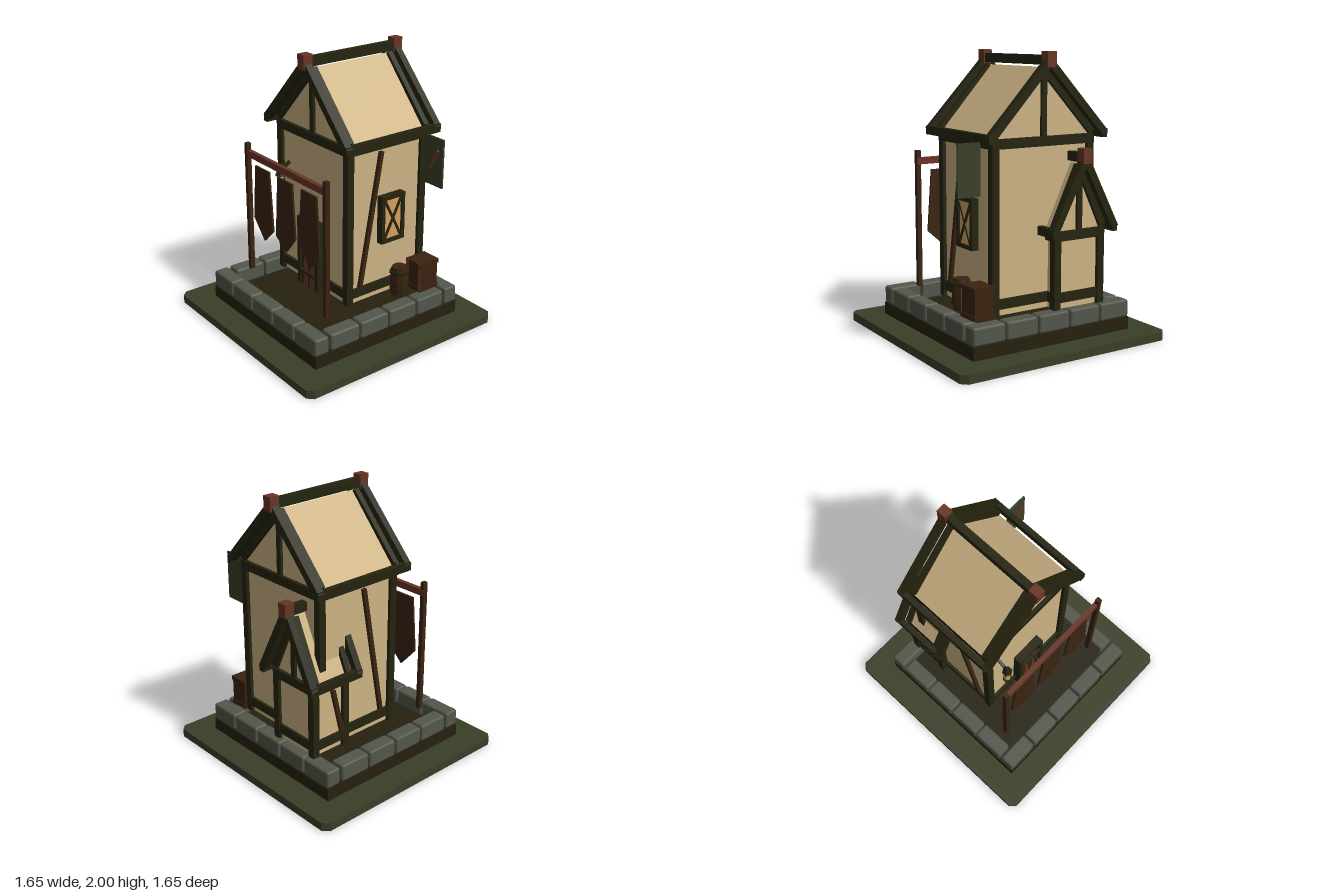
import * as THREE from 'three';
import { RoundedBoxGeometry } from 'three/addons/geometries/RoundedBoxGeometry.js';

const paint = (name, color) => {
  const m = new THREE.MeshStandardMaterial({ color });
  m.name = name;
  return m;
};

export function createModel() {
  const timber = paint('dark timber', 0x25240f);
  const plaster = paint('plaster', 0xcdb384);
  const grass = paint('moss green', 0x393f27);
  const earth = paint('dark earth', 0x26200f);
  const stone = paint('grey stone', 0x52564a);
  const red = paint('red wood', 0x673524);
  const brown = paint('brown wood', 0x3a2311);
  const glow = paint('amber glass', 0xd6a05c);

  const model = new THREE.Group();
  model.name = 'timberHouse';

  const group = (name, parent = model) => {
    const g = new THREE.Group();
    g.name = name;
    parent.add(g);
    return g;
  };
  const mesh = (parent, name, geo, mat, x = 0, y = 0, z = 0) => {
    const m = new THREE.Mesh(geo, mat);
    m.name = name;
    m.position.set(x, y, z);
    parent.add(m);
    return m;
  };
  // box given by its limits on each axis
  const box = (parent, name, mat, x0, x1, y0, y1, z0, z1) =>
    mesh(parent, name, new THREE.BoxGeometry(x1 - x0, y1 - y0, z1 - z0), mat,
      (x0 + x1) / 2, (y0 + y1) / 2, (z0 + z1) / 2);
  // beam between two points
  const beam = (parent, name, mat, a, b, w, d, extra = 0) => {
    const p = new THREE.Vector3(...a), q = new THREE.Vector3(...b);
    const dir = q.clone().sub(p), len = dir.length();
    const mid = p.add(q).multiplyScalar(0.5);
    const m = mesh(parent, name, new THREE.BoxGeometry(w, len + extra, d), mat, mid.x, mid.y, mid.z);
    m.quaternion.setFromUnitVectors(new THREE.Vector3(0, 1, 0), dir.normalize());
    return m;
  };
  const plate = (points, depth) => new THREE.ExtrudeGeometry(
    new THREE.Shape(points.map(p => new THREE.Vector2(...p))), { depth, bevelEnabled: false });

  // Ground slab with clipped corners, and plinth
  const a = 0.825, c = 0.785;
  const slab = mesh(model, 'groundSlab',
    plate([[a, -c], [a, c], [c, a], [-c, a], [-a, c], [-a, -c], [-c, -a], [c, -a]], 0.06), grass);
  slab.rotation.x = -Math.PI / 2;
  box(model, 'plinth', earth, -0.635, 0.635, 0.06, 0.15, -0.635, 0.635);

  // Ring of foundation stones
  const ring = group('foundationStones');
  const block = (w, d, x, z) =>
    mesh(ring, 'stone', new RoundedBoxGeometry(w, 0.125, d, 1, 0.016), stone, x, 0.2125, z);
  for (const s of [-1, 1]) {
    for (let i = 0; i < 5; i++) block(0.245, 0.113, (i - 2) * 0.2555, s * 0.579);
    for (let i = 0; i < 4; i++) block(0.113, 0.243, s * 0.579, (i - 1.5) * 0.255);
  }

  // Half-timbered house with a gabled roof, ridge along z
  const base = 0.275;
  function house(name, { x, z, hw, hd, top, ridge, eave, over, cap, capZ }) {
    const g = group(name);
    g.position.set(x, 0, z);
    const t = 0.053, wx = hw - 0.025, wz = hd - 0.025;
    box(g, 'walls', plaster, -wx, wx, base, top, -wz, wz);
    mesh(g, 'roofAndGables', plate([[-hw, top], [hw, top], [0, ridge - 0.035]], 2 * wz), plaster, 0, 0, -wz);
    for (const s of [-1, 1]) {
      for (const f of [-1, 1]) {
        const px = s * (hw - t / 2), pz = f * (hd - t / 2);
        box(g, 'cornerPost', timber, px - t / 2, px + t / 2, base, top, pz - t / 2, pz + t / 2);
        beam(g, 'gableRafter', timber, [s * (hw - 0.01), top + 0.015, f * (hd - 0.02)],
          [0, ridge - 0.045, f * (hd - 0.02)], 0.06, 0.04);
        beam(g, 'bargeRafter', timber, [s * eave, top + 0.01, f * over], [0, ridge, f * over], 0.052, 0.05, 0.02);
      }
      const sx = s * (hw - 0.02), fz = s * (hd - 0.02);
      box(g, 'sidePlate', timber, sx - 0.02, sx + 0.02, top - 0.065, top, -hd, hd);
      box(g, 'sideSill', timber, sx - 0.015, sx + 0.015, 0.32, 0.387, -hd + 0.01, hd - 0.01);
      box(g, 'eaveBeam', timber, s * eave - 0.02, s * eave + 0.02, top - 0.025, top + 0.035, -over - 0.025, over + 0.025);
      box(g, 'tieBeam', timber, -hw, hw, top - 0.065, top, fz - 0.021, fz + 0.021);
      box(g, 'gableSill', timber, -hw + 0.01, hw - 0.01, 0.32, 0.387, fz - 0.015, fz + 0.015);
      box(g, 'kingPost', timber, -0.02, 0.02, top, ridge - 0.05, fz - 0.016, fz + 0.016);
      box(g, 'ridgeCap', red, -0.034, 0.034, cap - 0.1, cap, s * capZ - 0.037, s * capZ + 0.037);
      // leaning brace on each side wall
      beam(g, 'sideBrace', brown, [s * (hw - 0.015), 0.39, hd * 0.65], [s * (hw - 0.015), top - 0.085, hd * 0.15], 0.03, 0.03);
    }
    box(g, 'ridgeBeam', timber, -0.026, 0.026, ridge - 0.02, ridge + 0.043, -over - 0.02, over + 0.02);
    return g;
  }
  house('mainHouse', { x: 0, z: -0.153, hw: 0.408, hd: 0.348, top: 1.445, ridge: 1.932,
    eave: 0.452, over: 0.388, cap: 2, capZ: 0.39 });
  house('rearAnnex', { x: -0.233, z: -0.43, hw: 0.208, hd: 0.16, top: 0.81, ridge: 1.29,
    eave: 0.248, over: 0.2, cap: 1.365, capZ: 0.2 });

  // Front door
  const door = group('frontDoor');
  for (const s of [-1, 1]) box(door, 'doorPost', timber, s * 0.105 - 0.015, s * 0.105 + 0.015, base, 0.8, 0.17, 0.235);
  box(door, 'lintel', timber, -0.12, 0.12, 0.77, 0.8, 0.17, 0.235);
  box(door, 'doorBack', timber, -0.09, 0.09, base, 0.77, 0.17, 0.2);
  for (let i = 0; i < 5; i++) {
    const px = (i - 2) * 0.036;
    box(door, 'plank', i % 2 ? red : brown, px - 0.014, px + 0.014, base, 0.77, 0.2, 0.225);
  }
  for (const y of [0.385, 0.68]) box(door, 'hingeStrap', timber, -0.09, 0.09, y - 0.011, y + 0.011, 0.22, 0.245);
  box(door, 'handle', timber, 0.045, 0.065, 0.505, 0.55, 0.225, 0.262);

  // Side window with crossed bars
  const win = group('sideWindow');
  const z0 = -0.29, z1 = -0.085, y0 = 0.685, y1 = 1.035, f = 0.028;
  for (const [ya, yb] of [[y0, y0 + f], [y1 - f, y1]]) box(win, 'windowRail', timber, 0.38, 0.436, ya, yb, z0, z1);
  for (const [za, zb] of [[z0, z0 + f], [z1 - f, z1]]) box(win, 'windowStile', timber, 0.38, 0.436, y0, y1, za, zb);
  box(win, 'glass', glow, 0.415, 0.423, y0 + f, y1 - f, z0 + f, z1 - f);
  for (const [za, zb] of [[z0 + f, z1 - f], [z1 - f, z0 + f]])
    beam(win, 'crossBar', timber, [0.426, y0 + f, za], [0.426, y1 - f, zb], 0.016, 0.016);

  // Banner frame and three pointed cloths
  const stand = group('bannerStand');
  for (const s of [-1, 1]) box(stand, 'pole', brown, s * 0.46 - 0.016, s * 0.46 + 0.016, 0.3, 1.29, 0.395, 0.43);
  box(stand, 'crossbar', red, -0.475, 0.475, 1.19, 1.238, 0.392, 0.424);
  const cloths = [
    [[-0.365, 1.145], [-0.4, 0.74], [-0.27, 0.595], [-0.16, 0.705], [-0.195, 1.145]],
    [[-0.09, 1.145], [-0.125, 0.69], [0, 0.61], [0.108, 0.745], [0.08, 1.145]],
    [[0.185, 1.145], [0.15, 0.745], [0.275, 0.595], [0.388, 0.695], [0.355, 1.145]],
  ];
  for (const points of cloths) mesh(stand, 'banner', plate(points, 0.014), brown, 0, 0, 0.403);

  // Hanging lantern
  const lamp = group('lantern');
  lamp.position.set(-0.285, 0, 0.26);
  const cyl = (r1, r2, h, n) => new THREE.CylinderGeometry(r1, r2, h, n).toNonIndexed();
  const turned = (parent, name, r1, r2, h, n, mat, x, y, z) => {
    const geo = cyl(r1, r2, h, n);
    geo.computeVertexNormals();
    return mesh(parent, name, geo, mat, x, y, z);
  };
  turned(lamp, 'lanternCap', 0.006, 0.038, 0.07, 6, timber, 0, 1.095, 0);
  turned(lamp, 'lanternGlass', 0.024, 0.024, 0.15, 6, glow, 0, 0.99, 0);
  turned(lamp, 'lanternBase', 0.033, 0.033, 0.03, 6, timber, 0, 0.905, 0);
  beam(lamp, 'bracket', timber, [0, 1.145, -0.085], [0, 1.11, -0.03], 0.02, 0.02);
  beam(lamp, 'hook', timber, [0, 1.11, -0.03], [0, 1.13, 0], 0.012, 0.012);

  // Barrel and crate beside the house
  const barrel = group('barrel');
  const profile = [[0, 0], [0.055, 0], [0.064, 0.06], [0.066, 0.11], [0.064, 0.16], [0.055, 0.22], [0, 0.22]];
  const staves = new THREE.LatheGeometry(profile.map(p => new THREE.Vector2(...p)), 10).toNonIndexed();
  staves.computeVertexNormals();
  mesh(barrel, 'staves', staves, brown, 0.477, base, -0.22);
  for (const y of [0.33, 0.455]) turned(barrel, 'hoop', 0.069, 0.069, 0.024, 10, timber, 0.477, y, -0.22);
  const crate = group('crate');
  box(crate, 'crateBox', brown, 0.41, 0.55, base, 0.49, -0.515, -0.35);
  for (const y of [0.29, 0.48]) box(crate, 'crateSlat', brown, 0.406, 0.558, y - 0.015, y + 0.015, -0.52, -0.345);
  for (const x of [0.42, 0.545]) box(crate, 'crateEdge', red, x - 0.01, x + 0.01, base, 0.495, -0.349, -0.343);

  // Hanging sign board with a slanted stripe
  const sign = group('signBoard');
  box(sign, 'board', grass, 0.465, 0.635, 1.08, 1.43, -0.452, -0.438);
  beam(sign, 'stripe', red, [0.52, 1.2, -0.431], [0.595, 1.345, -0.431], 0.018, 0.016);

  return model;
}
